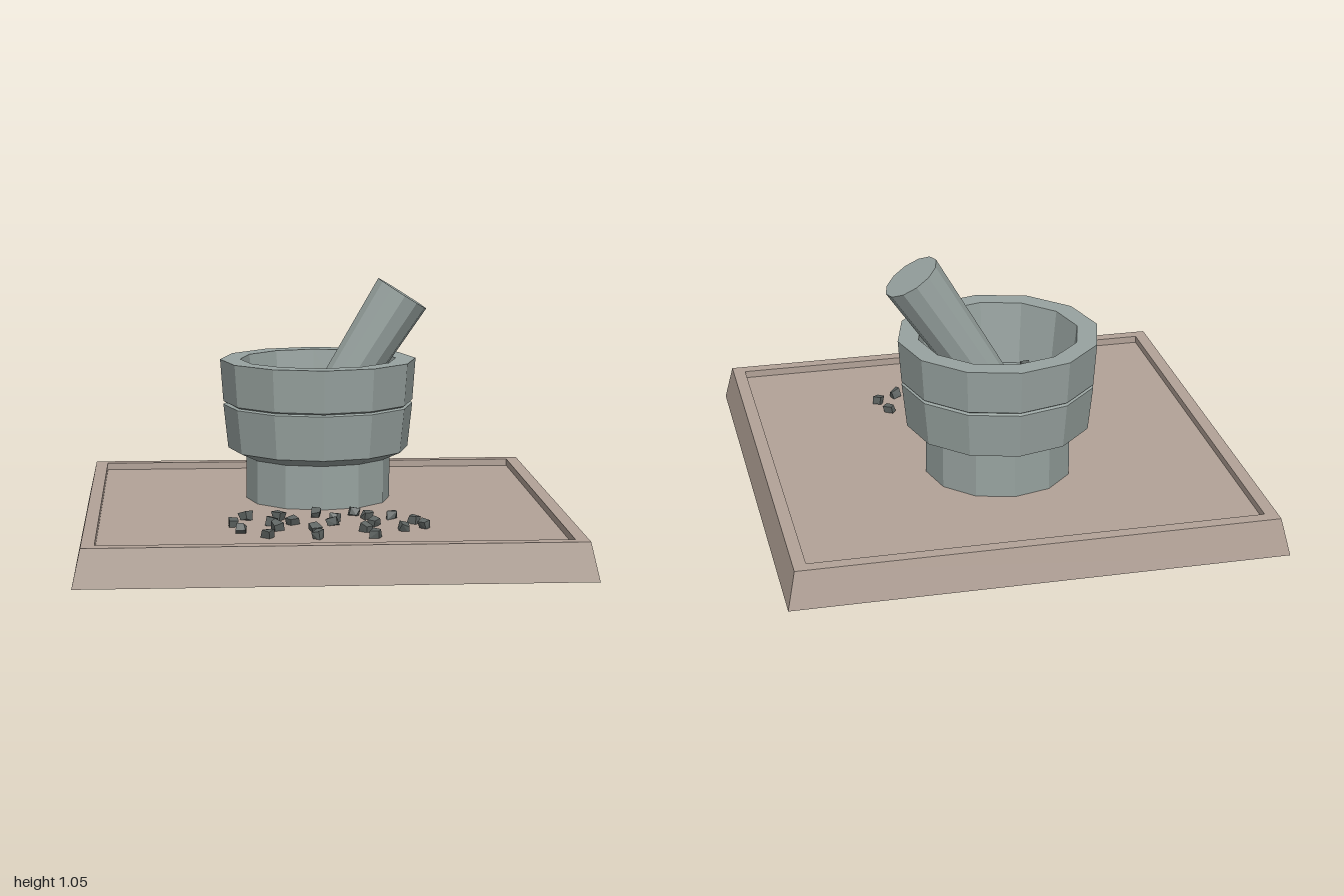
import * as THREE from 'three';
import { ConvexGeometry } from 'three/addons/geometries/ConvexGeometry.js';

const FLOOR = 0.12;        // recessed tray floor
const BOWL_FLOOR = 0.455;  // inside of the mortar
const MORTAR_Z = -0.19;

const mat = (color) => new THREE.MeshStandardMaterial({ color, flatShading: true });

function lathe(name, profile, sides, material) {
  const points = profile.map(([r, y]) => new THREE.Vector2(r, y));
  const mesh = new THREE.Mesh(new THREE.LatheGeometry(points, sides), material);
  mesh.name = name;
  return mesh;
}

// Small seeded generator
function seeded(seed) {
  return () => (seed = (seed * 16807) % 2147483647) / 2147483647;
}

// Irregular chunk: the hull of a skewed, jittered cube
function chunkGeometry(rand) {
  const points = [];
  for (const x of [-1, 1]) for (const y of [-1, 1]) for (const z of [-1, 1]) {
    const j = () => 0.6 + rand() * 0.55;
    points.push(new THREE.Vector3(x * j() * 0.023, y * j() * 0.019, z * j() * 0.02));
  }
  return new ConvexGeometry(points);
}

// Chunks scattered at [x, z] spots on a floor
function scatter(name, spots, floorY, material, rand) {
  const group = new THREE.Group();
  group.name = name;
  for (const [x, z] of spots) {
    const mesh = new THREE.Mesh(chunkGeometry(rand), material);
    mesh.name = 'chunk';
    mesh.position.set(x, floorY + 0.015, z);
    mesh.rotation.set(rand() * 0.8 - 0.4, rand() * Math.PI * 2, rand() * 0.8 - 0.4);
    group.add(mesh);
  }
  return group;
}

export function createModel() {
  const model = new THREE.Group();
  model.name = 'mortarAndPestle';
  const clay = mat(0xb3a398);
  const stone = mat(0x98a3a0);
  const dark = mat(0x5e6462);

  // Square tray with sloped sides and a raised rim: a four-sided lathe
  const d = Math.SQRT2;
  const tray = lathe('tray', [
    [0, 0], [d, 0], [0.967 * d, 0.15], [0.915 * d, 0.15], [0.915 * d, FLOOR], [0, FLOOR],
  ], 4, clay);
  tray.geometry.rotateY(Math.PI / 4);
  model.add(tray);

  // Twelve-sided mortar: foot, flare, grooved wall, rim and hollow
  const mortar = lathe('mortar', [
    [0, FLOOR - 0.005], [0.305, FLOOR - 0.005], [0.305, 0.303], [0.382, 0.338],
    [0.402, 0.524], [0.39, 0.53], [0.402, 0.537], [0.415, 0.715],
    [0.33, 0.715], [0.298, BOWL_FLOOR], [0, BOWL_FLOOR],
  ], 12, stone);
  mortar.position.z = MORTAR_Z;
  model.add(mortar);

  // Tapered pestle leaning to the side, hung from the centre of its top face
  const length = 0.66;
  const pestle = new THREE.Mesh(
    new THREE.CylinderGeometry(0.121, 0.093, length, 12).translate(0, -length / 2, 0), stone);
  pestle.name = 'pestle';
  pestle.position.set(0.357, 0.99, MORTAR_Z);
  pestle.rotation.z = -0.565;
  model.add(pestle);

  // Chunks inside the mortar and spilled on the tray
  const rand = seeded(4217);
  model.add(scatter('chunksInMortar', [
    [-0.19, -0.38], [-0.06, -0.4], [0.055, -0.44], [-0.07, -0.345], [0.037, -0.37],
    [0.107, -0.37], [0.18, -0.37], [-0.23, -0.255], [-0.13, -0.27], [-0.125, -0.19],
    [-0.21, -0.16], [-0.155, -0.15], [-0.235, -0.09], [-0.16, -0.085], [-0.107, -0.07],
    [-0.032, -0.07], [-0.16, -0.005], [-0.05, 0.005], [0.06, -0.035], [0.187, -0.035],
    [0.13, 0.005], [0.055, 0.065],
  ], BOWL_FLOOR, dark, rand));
  model.add(scatter('chunksOnTray', [
    [-0.325, 0.3], [-0.19, 0.305], [-0.037, 0.257], [0.12, 0.235], [0.17, 0.315],
    [0.267, 0.315], [0.032, 0.36], [-0.38, 0.433], [-0.225, 0.422], [-0.14, 0.406],
    [0.02, 0.428], [0.18, 0.455], [0.347, 0.412], [0.38, 0.513], [-0.21, 0.52],
    [-0.06, 0.55], [0.14, 0.572], [0.294, 0.567], [-0.353, 0.572], [-0.25, 0.663],
    [-0.053, 0.69], [0.17, 0.69],
  ], FLOOR, dark, rand));

  return model;
}
